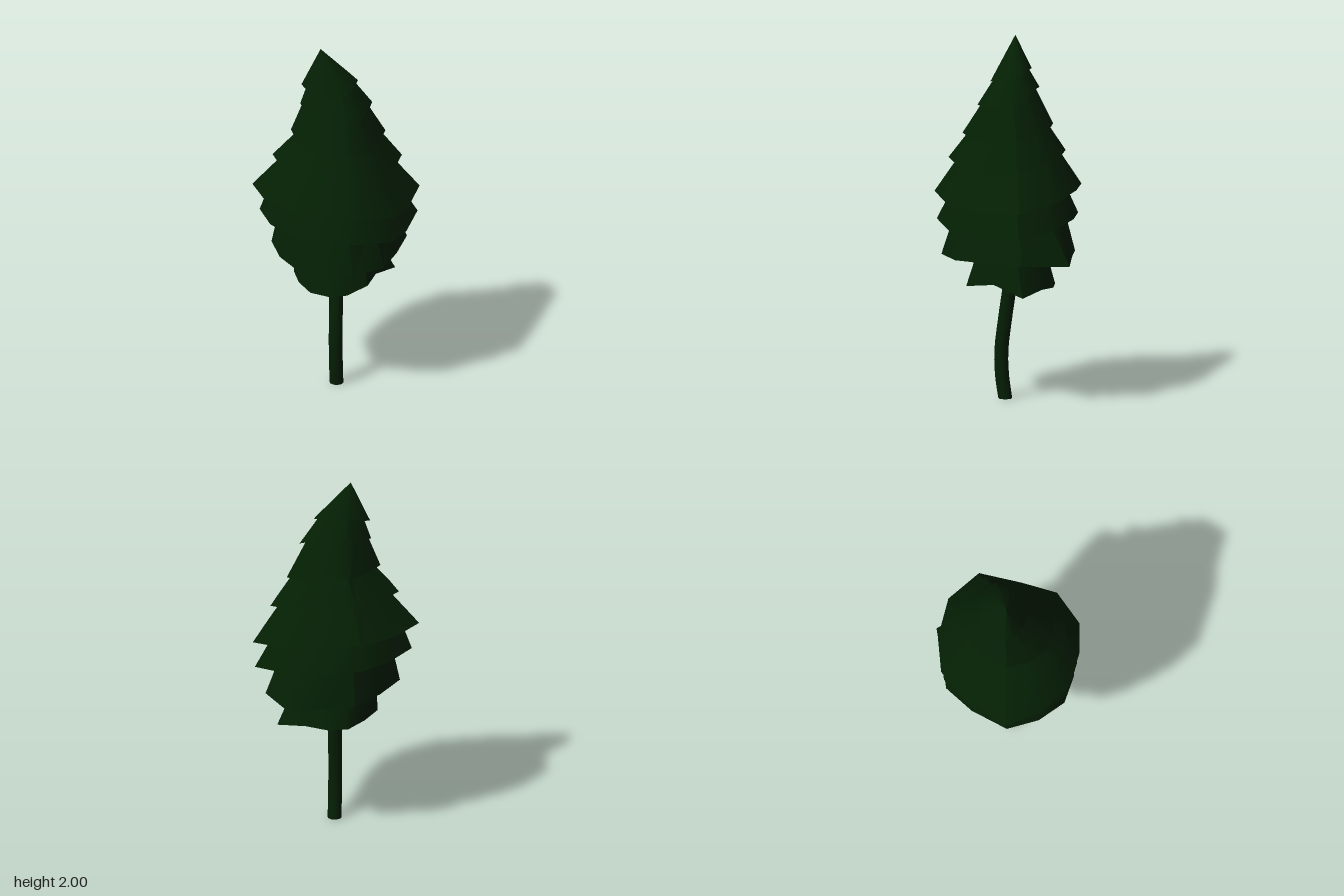
import * as THREE from 'three';
import { toCreasedNormals } from 'three/addons/utils/BufferGeometryUtils.js';

// Irregular twelve-sided plan of the foliage, as unit [x, z]
const PLAN = [[-1, 0.12], [-0.75, -0.45], [-0.4, -0.89], [0.05, -1], [0.59, -0.92], [1, -0.53],
  [0.95, 0.1], [0.85, 0.59], [0.45, 0.95], [0.05, 1], [-0.42, 0.91], [-0.78, 0.57]];

// Tiers from top to bottom; each list is [-x, +x, front, back]:
// top = reach inside the tier above, rim = reach of the lower edge, y = height of that edge.
// tip moves single rim corners: index -> [x, y, z]
const TIERS = [
  { rim: [0.175, 0.125, 0.115, 0.095], y: [1.78, 1.79, 1.75, 1.83] },
  { top: [0.12, 0.055, 0.065, 0.035], rim: [0.18, 0.2, 0.18, 0.145], y: [1.67, 1.64, 1.63, 1.73] },
  { top: [0.14, 0.135, 0.12, 0.08], rim: [0.23, 0.265, 0.26, 0.225], y: [1.51, 1.46, 1.48, 1.52] },
  { top: [0.125, 0.195, 0.18, 0.155], rim: [0.33, 0.35, 0.33, 0.29], y: [1.355, 1.3, 1.355, 1.37] },
  { top: [0.21, 0.24, 0.235, 0.215], rim: [0.44, 0.44, 0.4, 0.375], y: [1.17, 1.095, 1.175, 1.18] },
  { top: [0.32, 0.31, 0.28, 0.25], rim: [0.4, 0.43, 0.388, 0.36], y: [1.02, 0.95, 1.02, 1.02] },
  { top: [0.28, 0.29, 0.285, 0.275], rim: [0.335, 0.372, 0.37, 0.35], y: [0.83, 0.81, 0.805, 0.81],
    tip: { 4: [0.21, 0.795, -0.405] } },
  { top: [0.205, 0.2, 0.16, 0.16], rim: [0.215, 0.25, 0.24, 0.24], y: [0.65, 0.67, 0.615, 0.63],
    tip: { 5: [0.31, 0.62, -0.17] } },
];
const OVERLAP = 0.07;

function ring(reach, heights, lift = 0, tip = {}) {
  return PLAN.map(([u, v], i) => {
    if (tip[i]) return new THREE.Vector3(...tip[i]);
    const sx = u < 0 ? 0 : 1, sz = v > 0 ? 2 : 3;
    const y = (u * u * heights[sx] + v * v * heights[sz]) / (u * u + v * v);
    return new THREE.Vector3(u * reach[sx], y + lift, v * reach[sz]);
  });
}

const point = (x, y, z) => PLAN.map(() => new THREE.Vector3(x, y, z));

// Skin a stack of rings running from top to bottom
function loft(rings, crease) {
  const pos = [];
  const tri = (a, b, c) => {
    if (a.distanceTo(b) < 1e-6 || b.distanceTo(c) < 1e-6 || c.distanceTo(a) < 1e-6) return;
    for (const p of [a, b, c]) pos.push(p.x, p.y, p.z);
  };
  for (let r = 0; r + 1 < rings.length; r++) {
    const a = rings[r], b = rings[r + 1];
    for (let j = 0; j < a.length; j++) {
      const k = (j + 1) % a.length;
      tri(a[j], a[k], b[k]);
      tri(a[j], b[k], b[j]);
    }
  }
  const g = new THREE.BufferGeometry();
  g.setAttribute('position', new THREE.Float32BufferAttribute(pos, 3));
  return toCreasedNormals(g, crease);
}

export function createModel() {
  const tree = new THREE.Group();
  tree.name = 'tree';
  const green = new THREE.MeshStandardMaterial({ color: 0x041f04, side: THREE.DoubleSide });

  // Foliage: sloping skirt, then an underside rising in to the start of the next tier
  const foliage = new THREE.Group();
  foliage.name = 'foliage';
  tree.add(foliage);
  TIERS.forEach((t, i) => {
    const next = TIERS[i + 1];
    const start = i === 0 ? point(-0.07, 2, 0.01) : ring(t.top, TIERS[i - 1].y, OVERLAP);
    const rim = ring(t.rim, t.y, 0, t.tip);
    const under = next
      ? [ring(next.top, t.y, OVERLAP)]
      : [ring([0.15, 0.15, 0.12, 0.12], [0.79, 0.79, 0.79, 0.79]), point(0.012, 0.82, 0)];
    const mesh = new THREE.Mesh(loft([start, rim, ...under], i === 0 ? 1.2 : 0.6), green);
    mesh.name = 'foliageTier' + (i + 1);
    foliage.add(mesh);
  });

  // Bent trunk with a closed foot
  const path = new THREE.CatmullRomCurve3([
    [0.022, 0, 0.035], [0.022, 0.12, 0.053], [0.021, 0.26, 0.058],
    [0.019, 0.45, 0.036], [0.015, 0.64, 0.01], [0.012, 0.85, -0.005],
  ].map((p) => new THREE.Vector3(...p)));
  const tube = new THREE.TubeGeometry(path, 16, 0.038, 10, false);
  const tp = tube.attributes.position;
  for (let i = 0; i <= 10; i++) tp.setY(i, 0);
  const trunk = new THREE.Mesh(tube, green);
  trunk.name = 'trunk';
  const foot = new THREE.Mesh(new THREE.CircleGeometry(0.038, 10).rotateX(Math.PI / 2), green);
  foot.position.set(0.022, 0, 0.035);
  foot.name = 'trunkFoot';
  tree.add(trunk, foot);
  return tree;
}
